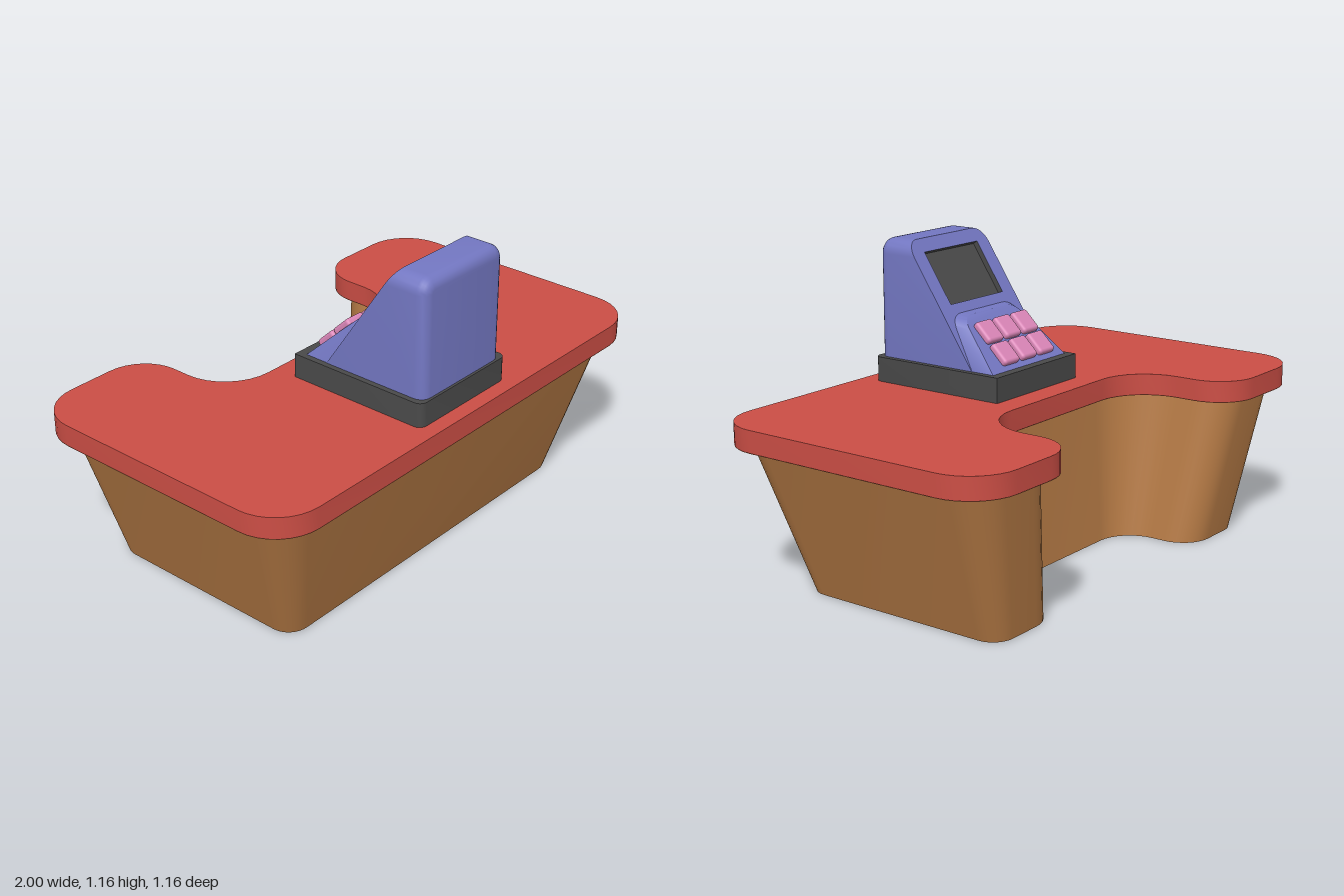
import * as THREE from 'three';
import { toCreasedNormals } from 'three/addons/utils/BufferGeometryUtils.js';
import { RoundedBoxGeometry } from 'three/addons/geometries/RoundedBoxGeometry.js';

const mat = (color, side = THREE.FrontSide) => new THREE.MeshStandardMaterial({ color, side });
const V2 = (x, y) => new THREE.Vector2(x, y);
const BLUE = 0x7377c2, BROWN = 0xb57a45, RED = 0xcb4e45, DARK = 0x4a4a4a, PINK = 0xdb86b8;

function part(name, geometry, material) {
  const mesh = new THREE.Mesh(geometry, material);
  mesh.name = name;
  return mesh;
}

// Points on a circular arc, angles in degrees
function arc(cx, cy, r, a0, a1, n = 8) {
  return Array.from({ length: n + 1 }, (_, i) => {
    const a = THREE.MathUtils.degToRad(a0 + (a1 - a0) * i / n);
    return V2(cx + r * Math.cos(a), cy + r * Math.sin(a));
  });
}

const mirrored = half => half.concat(half.map(p => V2(-p.x, p.y)).reverse());

// Skin through rings with equal point counts; outline is the flat shape used for the caps
function loft(rings, outline, startCap, endCap) {
  const n = outline.length, pos = [], index = [];
  rings.flat().forEach(p => pos.push(p.x, p.y, p.z));
  for (let k = 0; k < rings.length - 1; k++) {
    for (let i = 0; i < n; i++) {
      const a = k * n + i, b = k * n + (i + 1) % n;
      index.push(a, b, b + n, a, b + n, a + n);
    }
  }
  const last = (rings.length - 1) * n;
  for (const [a, b, c] of THREE.ShapeUtils.triangulateShape(outline, [])) {
    if (startCap) index.push(a, c, b);
    if (endCap) index.push(last + a, last + b, last + c);
  }
  const g = new THREE.BufferGeometry();
  g.setAttribute('position', new THREE.Float32BufferAttribute(pos, 3));
  g.setIndex(index);
  return toCreasedNormals(g, 0.6);
}

// U-shaped counter plan in (x, -z)
function plan(w, front, back, r, inner, notch, rLeg, rNotch) {
  return mirrored([
    ...arc(w - r, r - front, r, -90, 0),
    ...arc(w - r, back - r, r, 0, 90),
    ...arc(inner + rLeg, back - rLeg, rLeg, 90, 180),
    ...arc(inner - rNotch, notch + rNotch, rNotch, 0, -90),
  ]);
}

function slab(points, depth, y) {
  const g = new THREE.ExtrudeGeometry(new THREE.Shape(points), { depth, bevelEnabled: false });
  g.rotateX(-Math.PI / 2).translate(0, y, 0);
  return toCreasedNormals(g, 0.6);
}

function createCounter() {
  const group = new THREE.Group();
  group.name = 'counter';
  const low = plan(0.76, 0.39, 0.455, 0.08, 0.43, 0.14, 0.12, 0.14);
  const high = plan(0.94, 0.525, 0.525, 0.13, 0.53, 0.09, 0.14, 0.22);
  const top = plan(1, 0.58, 0.58, 0.18, 0.48, 0.145, 0.16, 0.2);
  const at = (pts, y) => pts.map(p => new THREE.Vector3(p.x, y, -p.y));
  group.add(part('counterBase', loft([at(low, 0), at(high, 0.555)], low, true, false), mat(BROWN)));
  group.add(part('countertop', slab(top, 0.08, 0.555), mat(RED)));
  // Brown board under the overhang
  const under = new THREE.ShapeGeometry(new THREE.Shape(top));
  under.rotateX(-Math.PI / 2).translate(0, 0.5535, 0);
  group.add(part('countertopUnderside', under, mat(BROWN, THREE.DoubleSide)));
  return group;
}

function createRegister() {
  const group = new THREE.Group();
  group.name = 'cashRegister';
  group.position.x = -0.003;
  const Y0 = 0.727, Y1 = 1.165, W = 0.217;
  const slopeZ = y => 0.08 + (y - Y0) * 0.6735;

  // Plinth with rounded front corners
  const plinth = mirrored([...arc(0.208, -0.49, 0.03, -90, 0, 5), V2(0.238, 0.05)]);
  group.add(part('registerPlinth', slab(plinth, Y0 - 0.635, 0.635), mat(DARK)));

  // Body: round-topped section with a bevelled front and a sloping back
  const section = d => mirrored([V2(W - d, Y0), ...arc(W - 0.055, Y1 - 0.055, 0.055 - d, 0, 90)]);
  const outline = section(0);
  const rings = [outline.map(p => new THREE.Vector3(p.x, p.y, slopeZ(p.y)))];
  const bevel = 0.04;
  for (let i = 0; i <= 5; i++) {
    const a = i / 5 * Math.PI / 2;
    const z = 0.51 - bevel + bevel * Math.sin(a);
    rings.push(section(bevel * (1 - Math.cos(a))).map(p => new THREE.Vector3(p.x, p.y, z)));
  }
  group.add(part('registerBody', loft(rings, outline, false, true), mat(BLUE)));

  // Sloping face with the screen opening
  const hole = [V2(-0.152, 0.942), V2(0.152, 0.942), V2(0.152, 1.12), V2(-0.152, 1.12)];
  const faceShape = new THREE.Shape(outline);
  faceShape.holes.push(new THREE.Path(hole));
  const face = new THREE.ShapeGeometry(faceShape);
  const p = face.attributes.position;
  for (let i = 0; i < p.count; i++) p.setZ(i, slopeZ(p.getY(i)));
  face.computeVertexNormals();
  group.add(part('registerFace', face, mat(BLUE, THREE.DoubleSide)));

  // Recessed screen
  const sunk = d => hole.map(q => new THREE.Vector3(q.x, q.y - 0.56 * d, slopeZ(q.y) + 0.83 * d));
  group.add(part('screen', loft([sunk(0), sunk(0.02)], hole, false, true), mat(DARK, THREE.DoubleSide)));

  // Keypad hump, running from its tilted panel back into the sloping face
  const corner = new THREE.QuadraticBezierCurve(V2(0.165, 0.78), V2(0.15, 1), V2(0.105, 1));
  const pad = mirrored([V2(0.215, 0), ...corner.getPoints(7)]);
  const panel = pad.map(q => new THREE.Vector3(q.x, Y0 + 0.178 * q.y, -0.015 + 0.185 * q.y));
  const root = pad.map(q => {
    const y = Y0 + 0.183 * q.y;
    return new THREE.Vector3(q.x * (1 + 0.15 * q.y), y, slopeZ(y) + 0.002);
  });
  group.add(part('keypadPanel', loft([panel, root], pad, true, false), mat(BLUE)));

  // Two rows of three keys
  const key = new RoundedBoxGeometry(0.088, 0.03, 0.092, 3, 0.012);
  const pink = mat(PINK);
  for (const [y, z] of [[0.779, 0.027], [0.848, 0.099]]) {
    for (const x of [-0.105, 0, 0.105]) {
      const k = part('key', key, pink);
      k.position.set(x - 0.012, y, z);
      k.rotation.x = -0.766;
      group.add(k);
    }
  }
  return group;
}

export function createModel() {
  const model = new THREE.Group();
  model.name = 'checkoutCounter';
  model.add(createCounter(), createRegister());
  return model;
}
